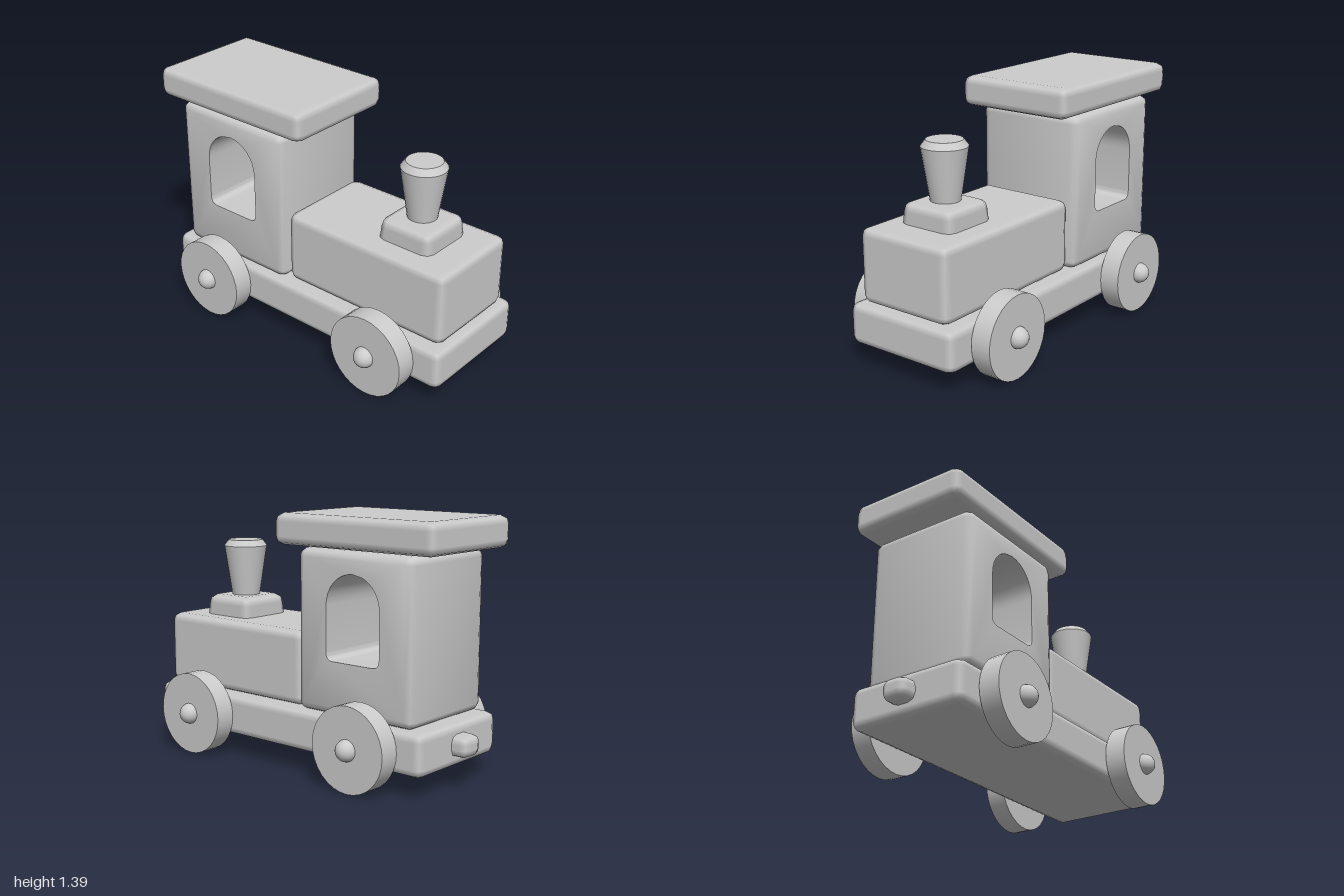
import * as THREE from 'three';
import { RoundedBoxGeometry } from 'three/addons/geometries/RoundedBoxGeometry.js';
import { toCreasedNormals } from 'three/addons/utils/BufferGeometryUtils.js';

const material = new THREE.MeshStandardMaterial({ color: 0xcccccc });
const BEVEL = 0.045;

function add(parent, name, geometry, x = 0, y = 0, z = 0) {
  const mesh = new THREE.Mesh(geometry, material);
  mesh.name = name;
  mesh.position.set(x, y, z);
  parent.add(mesh);
  return mesh;
}

// Block with eased edges, given by its extents and half depth
function block(parent, name, x0, x1, y0, y1, halfZ, radius = BEVEL) {
  const geometry = new RoundedBoxGeometry(x1 - x0, y1 - y0, halfZ * 2, 1, radius);
  return add(parent, name, geometry, (x0 + x1) / 2, (y0 + y1) / 2);
}

// Eased block with an arched window cut straight through
function cabGeometry(x0, x1, y0, y1, halfZ) {
  const r = BEVEL;
  const shape = new THREE.Shape();
  shape.moveTo(x0 + r, y0);
  shape.lineTo(x1 - r, y0);
  shape.absarc(x1 - r, y0 + r, r, -Math.PI / 2, 0);
  shape.lineTo(x1, y1 - r);
  shape.absarc(x1 - r, y1 - r, r, 0, Math.PI / 2);
  shape.lineTo(x0 + r, y1);
  shape.absarc(x0 + r, y1 - r, r, Math.PI / 2, Math.PI);
  shape.lineTo(x0, y0 + r);
  shape.absarc(x0 + r, y0 + r, r, Math.PI, Math.PI * 1.5);

  const left = -0.63, right = -0.28, sill = 0.635, c = 0.045;
  const hole = new THREE.Path();
  hole.moveTo(left + c, sill);
  hole.lineTo(right - c, sill);
  hole.quadraticCurveTo(right, sill, right, sill + c);
  hole.lineTo(right, 0.925);
  hole.absarc((left + right) / 2, 0.925, (right - left) / 2, 0, Math.PI);
  hole.lineTo(left, sill + c);
  hole.quadraticCurveTo(left, sill, left + c, sill);
  shape.holes.push(hole);

  const geometry = new THREE.ExtrudeGeometry(shape, {
    depth: 5, steps: 5, bevelEnabled: false, curveSegments: 8,
  });
  // Draw the outer rim in towards both ends; the window lies inside the core and stays put
  const depths = [0, r * 0.293, r];
  const spread = [0, 0.707, 1];
  const p = geometry.attributes.position;
  for (let i = 0; i < p.count; i++) {
    const level = Math.round(p.getZ(i));
    const k = Math.min(level, 5 - level);
    const cx = THREE.MathUtils.clamp(p.getX(i), x0 + r, x1 - r);
    const cy = THREE.MathUtils.clamp(p.getY(i), y0 + r, y1 - r);
    const z = halfZ - depths[k];
    p.setXYZ(i, cx + (p.getX(i) - cx) * spread[k], cy + (p.getY(i) - cy) * spread[k], level < 3 ? -z : z);
  }
  return toCreasedNormals(geometry, 0.9);
}

export function createModel() {
  const train = new THREE.Group();
  train.name = 'toyTrain';

  // Body blocks
  block(train, 'chassis', -0.91, 1.0, 0.115, 0.345, 0.345);
  block(train, 'boiler', -0.07, 0.965, 0.345, 0.755, 0.287);
  add(train, 'cab', cabGeometry(-0.83, -0.08, 0.345, 1.215, 0.32));
  block(train, 'roof', -0.97, 0.07, 1.22, 1.39, 0.347);
  block(train, 'rearHitch', -1.0, -0.86, 0.175, 0.292, 0.075);

  // Chimney base, narrowing slightly towards its top
  const base = block(train, 'chimneyBase', 0.45, 0.79, 0.69, 0.87, 0.172, 0.05);
  const p = base.geometry.attributes.position;
  for (let i = 0; i < p.count; i++) {
    const s = p.getY(i) > 0 ? 0.96 : 1;
    p.setX(i, p.getX(i) * s);
    p.setZ(i, p.getZ(i) * s);
  }

  // Flared chimney with chamfered rim
  const profile = [[0, 0.85], [0.078, 0.85], [0.125, 1.155], [0.098, 1.19], [0, 1.19]]
    .map(([r, y]) => new THREE.Vector2(r, y));
  add(train, 'chimney', toCreasedNormals(new THREE.LatheGeometry(profile, 24), 0.5), 0.62);

  // Wheels, axles and rounded axle ends
  const wheel = new THREE.CylinderGeometry(0.23, 0.23, 0.115, 32).rotateX(Math.PI / 2);
  const axle = new THREE.CylinderGeometry(0.05, 0.05, 0.9, 16).rotateX(Math.PI / 2);
  const cap = new THREE.SphereGeometry(0.058, 20, 14);
  for (const [end, x] of [['rear', -0.54], ['front', 0.62]]) {
    add(train, end + 'Axle', axle, x, 0.23);
    for (const [side, s] of [['Left', 1], ['Right', -1]]) {
      add(train, end + side + 'Wheel', wheel, x, 0.23, s * 0.407);
      add(train, end + side + 'AxleCap', cap, x, 0.23, s * 0.465);
    }
  }
  return train;
}
